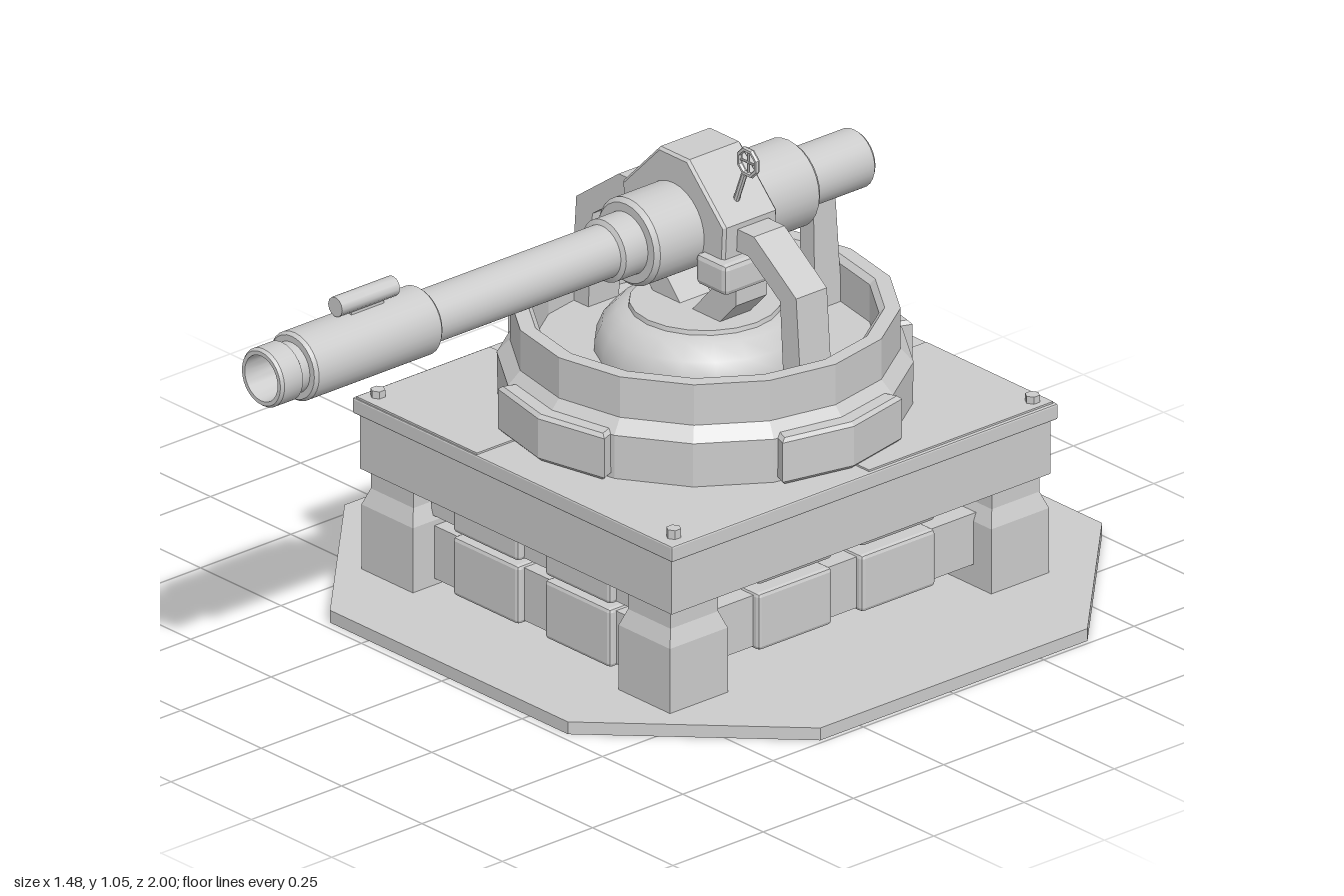
import * as THREE from 'three';
import { toCreasedNormals } from 'three/addons/utils/BufferGeometryUtils.js';
import { RoundedBoxGeometry } from 'three/addons/geometries/RoundedBoxGeometry.js';

const CZ = -0.23; // z of the turret axis
const AXIS_Y = 0.842; // height of the barrel axis

export function createModel() {
  const model = new THREE.Group();
  const flat = new THREE.MeshStandardMaterial({ color: 0xcccccc, flatShading: true });
  const smooth = new THREE.MeshStandardMaterial({ color: 0xcccccc });

  const add = (name, geometry, x = 0, y = 0, z = 0, parent = model, material = flat) => {
    const mesh = new THREE.Mesh(geometry, material);
    mesh.name = name;
    mesh.position.set(x, y, z);
    parent.add(mesh);
    return mesh;
  };
  const group = (name, x, y, z, parent = model) => {
    const g = new THREE.Group();
    g.name = name;
    g.position.set(x, y, z);
    parent.add(g);
    return g;
  };
  const box = (w, h, d) => new THREE.BoxGeometry(w, h, d);
  const bevelBox = (w, h, d, r = 0.01) => new RoundedBoxGeometry(w, h, d, 1, r);
  const lathe = (pts, n) => new THREE.LatheGeometry(pts.map(p => new THREE.Vector2(...p)), n);
  const creased = (geo, angle = 0.5) => toCreasedNormals(geo, angle);
  // Outline in x/y, extruded symmetrically along z
  const slab = (pts, depth, bevel = 0) => {
    const shape = new THREE.Shape(pts.map(p => new THREE.Vector2(...p)));
    const geo = new THREE.ExtrudeGeometry(shape, {
      depth: depth - 2 * bevel, bevelEnabled: bevel > 0, bevelSize: bevel,
      bevelThickness: bevel, bevelOffset: -bevel, bevelSegments: 1,
    });
    return geo.translate(0, 0, -depth / 2 + bevel);
  };
  const rod = (name, a, b, r, parent) => {
    const from = new THREE.Vector3(...a), to = new THREE.Vector3(...b);
    const dir = to.clone().sub(from);
    const m = add(name, new THREE.CylinderGeometry(r, r, dir.length(), 8), 0, 0, 0, parent);
    m.position.copy(from).add(to).multiplyScalar(0.5);
    m.quaternion.setFromUnitVectors(new THREE.Vector3(0, 1, 0), dir.normalize());
  };

  // Octagonal ground plate
  const c = 0.37, e = 0.74;
  add('groundPlate', slab([[c, -e], [e, -c], [e, c], [c, e], [-c, e], [-e, c], [-e, -c], [-c, -e]], 0.028)
    .rotateX(-Math.PI / 2), 0, 0.014, -0.26);

  // Square platform with lid, overlapping deck panels and corner bolts
  add('platform', box(0.97, 0.128, 1.05), 0, 0.319, CZ);
  add('platformLid', bevelBox(0.995, 0.036, 1.07, 0.004), 0, 0.398, CZ);
  add('deckPanelFront', box(0.375, 0.006, 0.37), -0.3, 0.417, 0.117);
  add('deckPanelBack', box(0.395, 0.006, 0.51), 0.292, 0.417, -0.503);
  for (const sx of [-1, 1]) for (const sz of [-1, 1]) {
    add('bolt', new THREE.CylinderGeometry(0.016, 0.016, 0.02, 6), sx * 0.46, 0.426, CZ + sz * 0.497);

    // Corner leg: wide foot, chamfer, narrower neck
    const leg = group('leg', sx * 0.4, 0, CZ + sz * 0.445);
    const tiers = [[0.028, 0.16], [0.175, 0.16], [0.212, 0.132], [0.26, 0.132]];
    const k = Math.SQRT1_2;
    const geo = lathe([[0, 0.028], ...tiers.map(([y, w]) => [w * k, y]), [0, 0.26]], 4);
    add('legBody', geo.rotateY(Math.PI / 4), 0, 0, 0, leg);
  }

  // Armour skirts between the legs: backing strips with raised bevelled blocks
  const skirt = (name, half, low, high, x, z, angle) => {
    const g = group(name, x, 0, z);
    g.rotation.y = angle;
    for (const [y0, y1, inset] of [[low[0], low[1], 0.007], [high, 0.265, 0.005]]) {
      add('skirtStrip', box(half * 2, y1 - y0 - inset * 2, 0.05), 0, (y0 + y1) / 2, 0, g);
      for (const s of [-1, 1])
        add('skirtBlock', bevelBox(0.205, y1 - y0, 0.085, 0.009), s * 0.143, (y0 + y1) / 2, 0, g);
    }
  };
  for (const s of [-1, 1]) {
    const turn = s > 0 ? 0 : Math.PI;
    skirt('endSkirt', 0.33, [0.036, 0.17], 0.18, 0, CZ + s * 0.44, turn);
    skirt('sideSkirt', 0.375, [0.07, 0.2], 0.22, s * 0.4, CZ, s * Math.PI / 2);
  }

  // Turret ring, open in the middle, with a floor and a dome
  const turret = group('turret', 0, 0, CZ);
  add('turretRing', lathe([
    [0.43, 0.41], [0.432, 0.515], [0.405, 0.545], [0.405, 0.637], [0.372, 0.637], [0.36, 0.625], [0.36, 0.53],
  ], 16), 0, 0, 0, turret);
  add('turretFloor', new THREE.CylinderGeometry(0.37, 0.37, 0.02, 16), 0, 0.53, 0, turret);
  add('dome', creased(lathe([
    [0.232, 0.53], [0.23, 0.565], [0.215, 0.6], [0.185, 0.63], [0.16, 0.637], [0.158, 0.647], [0, 0.647],
  ], 20), 0.6), 0, 0, 0, turret, smooth);

  // Curved armour pads on the four sides of the ring
  for (let i = 0; i < 4; i++) {
    const arc = (r, a) => [r * Math.sin(a), r * Math.cos(a)];
    const a = 0.37;
    const pad = slab([arc(0.405, -a), arc(0.405, a), arc(0.458, a), arc(0.463, 0), arc(0.458, -a)], 0.105, 0.008);
    add('ringPad', pad.rotateX(-Math.PI / 2).rotateY(i * Math.PI / 2), 0, 0.471, 0, turret);
  }

  // Bent side arms and the cradle halves below the trunnion blocks
  const mount = group('gunMount', 0, 0, -0.215);
  const arm = [[0.36, 0.535], [0.342, 0.78], [0.21, 0.876], [0.14, 0.876], [0.14, 0.826], [0.194, 0.826],
    [0.292, 0.757], [0.305, 0.535]];
  const cradle = [[0.155, 0.75], [0.155, 0.7], [0.1, 0.642], [0.015, 0.642], [0.09, 0.725], [0.09, 0.75]];
  for (const s of [-1, 1]) {
    const side = pts => pts.map(([x, y]) => [s * x, y]);
    add('sideArm', slab(side(arm), 0.085), 0, 0, -0.005, mount);
    add('cradleHalf', slab(side(cradle), 0.085), 0, 0, -0.005, mount);
    add('trunnionBlock', bevelBox(0.096, 0.07, 0.185, 0.012), s * 0.136, 0.78, 0, mount);
  }
  add('mountHead', slab([[-0.155, 0.79], [0.155, 0.79], [0.16, 0.888], [0.045, 1.005], [-0.045, 1.005],
    [-0.16, 0.888]], 0.148, 0.006), 0, 0, 0, mount);

  // Rear strut supporting the breech
  add('rearStrut', slab([[0.59, 0.53], [0.515, 0.53], [0.51, 0.8], [0.57, 0.8]].map(([z, y]) => [z, y]), 0.044)
    .rotateY(Math.PI / 2));

  // Gun: one turned profile from breech end to hollow muzzle
  const gun = group('gun', 0, AXIS_Y, 0);
  add('barrel', creased(lathe([
    [0, -0.65], [0.058, -0.65], [0.065, -0.642], [0.065, -0.47], [0.088, -0.47], [0.097, -0.46], [0.097, -0.02],
    [0.088, -0.01], [0.069, -0.01], [0.069, 0.05], [0.058, 0.055], [0.058, 0.56], [0.07, 0.56], [0.076, 0.567],
    [0.076, 0.907], [0.07, 0.915], [0.056, 0.915], [0.056, 0.935], [0.065, 0.942], [0.065, 0.993], [0.06, 1],
    [0.051, 1], [0.046, 0.9], [0, 0.9],
  ], 28).rotateX(Math.PI / 2)), 0, 0, 0, gun, smooth);
  add('sightTube', creased(new THREE.CylinderGeometry(0.022, 0.022, 0.16, 12).rotateX(Math.PI / 2), 0.6),
    0, 0.1, 0.715, gun, smooth);
  add('sightFoot', box(0.022, 0.04, 0.09), 0, 0.08, 0.715, gun);

  // Ring sight on a slanted stalk
  const sight = group('ringSight', 0.16, 1.02, -0.207);
  rod('sightStalk', [-0.05, -0.13, 0], [-0.012, -0.03, 0], 0.007, sight);
  add('sightRing', new THREE.TorusGeometry(0.029, 0.006, 6, 8).rotateZ(Math.PI / 8), 0, 0, 0, sight);
  rod('sightCrossbar', [-0.027, 0, 0], [0.027, 0, 0], 0.003, sight);
  rod('sightCrosspost', [0, -0.027, 0], [0, 0.027, 0], 0.003, sight);

  // The strut outline runs along -z, from turret floor to breech
  return model;
}
